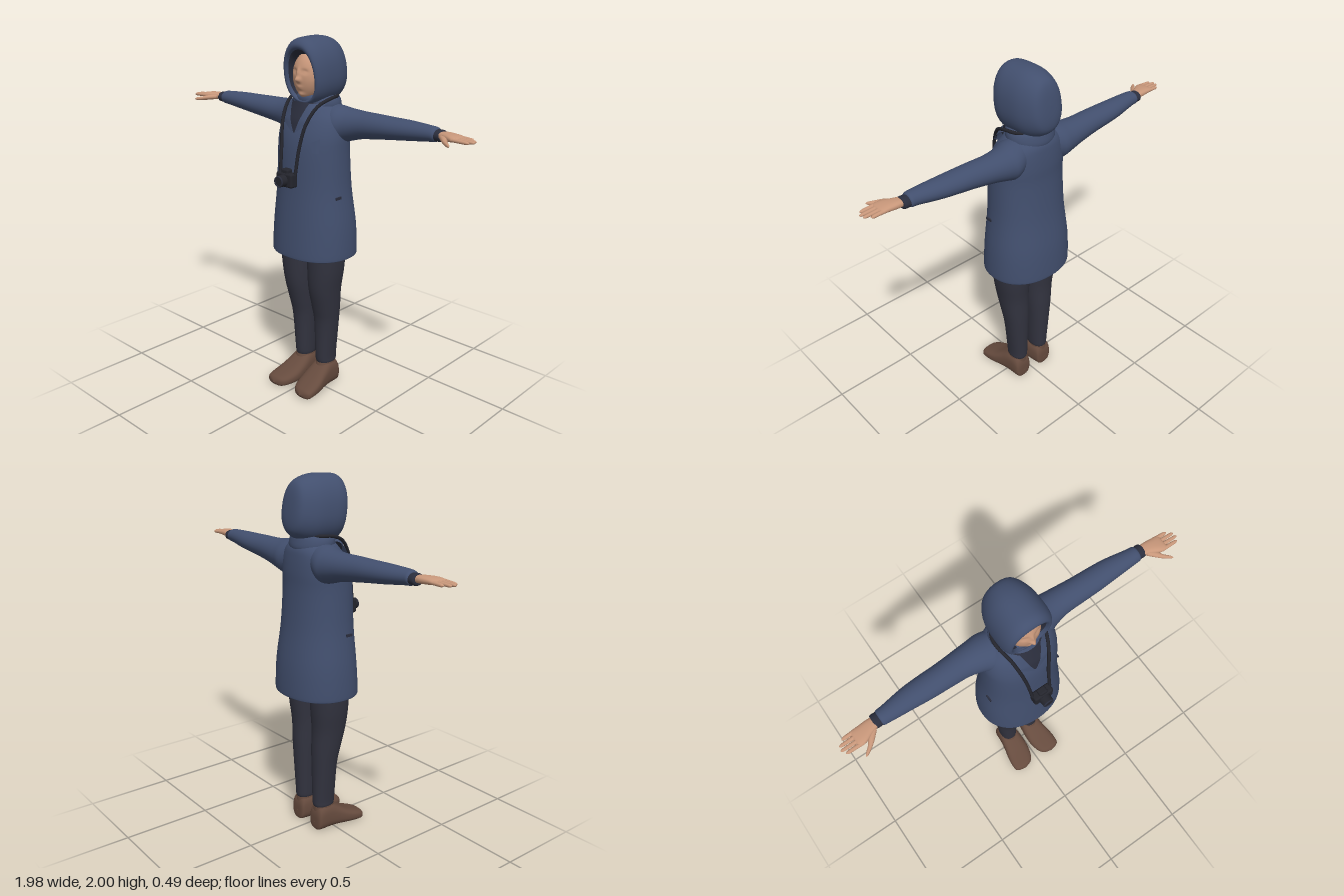
import * as THREE from 'three';
import { RoundedBoxGeometry } from 'three/addons/geometries/RoundedBoxGeometry.js';

const paint = (name, color) => {
  const m = new THREE.MeshStandardMaterial({ color, side: THREE.DoubleSide });
  m.name = name;
  return m;
};
const AXES = { x: [1, 2, 0], y: [2, 0, 1], z: [0, 1, 2] };

// Smooth skin through cross-sections: [position on axis, uMin, uMax, vMin, vMax]
// (u,v) is (y,z) along x, (z,x) along y and (x,y) along z; n squares the section
function loft(axis, keys, { n = 2, seg = 36, steps = 4, warp } = {}) {
  const [U, V, W] = AXES[axis];
  const cr = (a, b, c, d, t) =>
    b + 0.5 * t * (c - a + t * (2 * a - 5 * b + 4 * c - d + t * (3 * (b - c) + d - a)));
  const pos = [], idx = [];
  const rows = (keys.length - 1) * steps;
  for (let i = 0; i <= rows; i++) {
    const k = Math.min(Math.floor(i / steps), keys.length - 2), t = i / steps - k;
    const at = (j) => keys[Math.max(0, Math.min(keys.length - 1, j))];
    const [w, u0, u1, v0, v1] = keys[0].map((_, c) => cr(at(k - 1)[c], at(k)[c], at(k + 1)[c], at(k + 2)[c], t));
    for (let j = 0; j < seg; j++) {
      const a = (j / seg) * Math.PI * 2, c = Math.cos(a), s = Math.sin(a), p = [0, 0, 0];
      p[U] = (u0 + u1) / 2 + ((u1 - u0) / 2) * Math.sign(c) * Math.abs(c) ** (2 / n);
      p[V] = (v0 + v1) / 2 + ((v1 - v0) / 2) * Math.sign(s) * Math.abs(s) ** (2 / n);
      p[W] = w;
      if (warp) warp(p);
      pos.push(...p);
      if (i < rows) {
        const A = i * seg + j, B = i * seg + ((j + 1) % seg);
        idx.push(A, B, A + seg, B, B + seg, A + seg);
      }
    }
  }
  return build(pos, idx);
}

function build(pos, idx) {
  const g = new THREE.BufferGeometry();
  g.setAttribute('position', new THREE.Float32BufferAttribute(pos, 3));
  g.setIndex(idx);
  g.computeVertexNormals();
  return g;
}

function mirror(geo) {
  const g = geo.clone().scale(-1, 1, 1), a = g.index.array;
  for (let i = 0; i < a.length; i += 3) [a[i], a[i + 1]] = [a[i + 1], a[i]];
  return g;
}

// Coat sections from inside the hem, round its edge and up to the neck
const COAT = [
  [0.95, -0.03, -0.03, 0, 0], [0.945, -0.18, 0.11, -0.19, 0.19], [0.845, -0.225, 0.153, -0.23, 0.23],
  [0.829, -0.234, 0.163, -0.24, 0.24], [0.842, -0.24, 0.168, -0.247, 0.247],
  [1.0, -0.232, 0.158, -0.24, 0.24], [1.2, -0.205, 0.143, -0.217, 0.217], [1.4, -0.19, 0.135, -0.209, 0.209],
  [1.5, -0.19, 0.12, -0.207, 0.207], [1.58, -0.185, 0.09, -0.19, 0.19],
  [1.63, -0.175, 0.06, -0.15, 0.15], [1.68, -0.14, 0.03, -0.09, 0.09],
];
function frontZ(x, y) {
  const k = COAT.slice(4), i = Math.max(1, k.findIndex((r) => r[0] >= y));
  const t = (y - k[i - 1][0]) / (k[i][0] - k[i - 1][0]);
  const [, z0, z1, , r] = k[i].map((b, c) => k[i - 1][c] + (b - k[i - 1][c]) * t);
  return (z0 + z1) / 2 + ((z1 - z0) / 2) * Math.sqrt(Math.max(0, 1 - (x / r) ** 2));
}

// Cloth patch lying on the coat front; corners counter-clockwise as [x, y, lift]
function patch(c, N = 10) {
  const pos = [], idx = [];
  for (let i = 0; i <= N; i++) for (let j = 0; j <= N; j++) {
    const u = j / N, v = i / N;
    const [x, y, o] = [0, 1, 2].map((q) =>
      (c[0][q] * (1 - u) + c[1][q] * u) * (1 - v) + (c[3][q] * (1 - u) + c[2][q] * u) * v);
    pos.push(x, y, frontZ(x, y) + o);
    const A = i * (N + 1) + j;
    if (i < N && j < N) idx.push(A, A + 1, A + N + 1, A + 1, A + N + 2, A + N + 1);
  }
  return build(pos, idx);
}

const tube = (pts, r, closed = false) => new THREE.TubeGeometry(
  new THREE.CatmullRomCurve3(pts.map((p) => new THREE.Vector3(...p)), closed), 60, r, 8, closed);

// Face: an ellipsoid shaped by soft bumps [x, y, width, height, depth]
function faceGeometry() {
  const g = new THREE.SphereGeometry(1, 64, 64), p = g.attributes.position;
  const bumps = [
    [0, 1.787, 0.013, 0.014, 0.024], [0, 1.82, 0.009, 0.022, 0.011], [0.034, 1.828, 0.017, 0.011, -0.009],
    [-0.034, 1.828, 0.017, 0.011, -0.009], [0.033, 1.826, 0.01, 0.005, 0.004], [-0.033, 1.826, 0.01, 0.005, 0.004],
    [0, 1.745, 0.02, 0.011, 0.008], [0, 1.744, 0.022, 0.0035, -0.004], [0, 1.705, 0.025, 0.014, 0.012],
  ];
  for (let i = 0; i < p.count; i++) {
    const x = p.getX(i) * 0.088, y = 1.8 + p.getY(i) * 0.125, k = p.getZ(i);
    let z = Math.sign(k) * Math.abs(k) ** 0.85 * 0.09;
    if (k > 0) for (const [bx, by, sx, sy, d] of bumps)
      z += d * Math.exp(-(((x - bx) / sx) ** 2) - ((y - by) / sy) ** 2);
    p.setXYZ(i, x * (y < 1.78 ? 1 - (1.78 - y) * 0.8 : 1), y, z);
  }
  g.computeVertexNormals();
  return g;
}

export function createModel() {
  const model = new THREE.Group();
  model.name = 'hoodedFigure';
  const coat = paint('coatBlue', 0x424f6e), dark = paint('liningDark', 0x2b2e3d);
  const trouser = paint('trouserCharcoal', 0x32333f), skin = paint('skin', 0xc8977a);
  const shoe = paint('shoeBrown', 0x664b3e), black = paint('cameraBlack', 0x24252d);
  const add = (name, geo, mat) => {
    const m = new THREE.Mesh(geo, mat);
    m.name = name;
    model.add(m);
    return m;
  };
  const pair = (name, geo, mat) => {
    add(name + 'Left', geo, mat);
    add(name + 'Right', mirror(geo), mat);
  };

  // Coat body, collar and lapels
  add('coatBody', loft('y', COAT, { n: 2.2, seg: 48 }), coat);
  add('collar', loft('y', [
    [1.6, -0.165, 0.03, -0.11, 0.11], [1.63, -0.178, 0.05, -0.13, 0.13], [1.665, -0.175, 0.058, -0.13, 0.13],
    [1.695, -0.165, 0.058, -0.115, 0.115], [1.71, -0.13, 0.04, -0.09, 0.09],
  ]), coat);
  add('shirt', patch([[-0.004, 1.515, 0.012], [0.004, 1.515, 0.012], [0.085, 1.67, 0.045], [-0.085, 1.67, 0.045]]), dark);
  pair('lapel', patch([[0.005, 1.51, 0.014], [0.125, 1.595, 0.034], [0.11, 1.67, 0.05], [0.06, 1.665, 0.05]]), coat);
  add('chestPocket', patch([[0.115, 1.42, 0.009], [0.15, 1.42, 0.012], [0.15, 1.495, 0.012], [0.11, 1.475, 0.009]]), coat);
  pair('pocketSlit', new THREE.BoxGeometry(0.008, 0.014, 0.04).translate(0.219, 1.175, 0.015), dark);

  // Hood with a rolled rim, narrowing upward and leaning forward
  const hoodWarp = (p) => {
    p[0] *= 1 - (p[1] - 1.78) * 0.45;
    p[2] += (p[1] - 1.85) * 0.15;
  };
  add('hood', loft('z', [
    [-0.205, 0, 0, 1.85, 1.85], [-0.2, -0.06, 0.06, 1.76, 1.93], [-0.175, -0.1, 0.1, 1.7, 1.975],
    [-0.1, -0.133, 0.133, 1.66, 2.0], [0, -0.14, 0.14, 1.65, 2.0], [0.055, -0.133, 0.133, 1.65, 1.992],
    [0.084, -0.118, 0.118, 1.66, 1.968], [0.085, -0.102, 0.102, 1.672, 1.945], [0.065, -0.095, 0.095, 1.68, 1.935],
  ], { n: 2.25, seg: 48, warp: hoodWarp }), coat);
  add('hoodLining', loft('z', [
    [0.073, -0.098, 0.098, 1.676, 1.94], [0.055, -0.089, 0.089, 1.684, 1.922], [0, -0.08, 0.08, 1.7, 1.9],
  ], { n: 2.25, seg: 48, warp: hoodWarp }), dark);
  add('face', faceGeometry(), skin);
  add('neck', new THREE.CylinderGeometry(0.05, 0.055, 0.14, 24).translate(0, 1.67, -0.02), skin);

  // Sleeves and cuffs
  pair('sleeve', loft('x', [
    [0.06, 1.5, 1.66, -0.14, 0.0], [0.15, 1.455, 1.652, -0.175, 0.03], [0.21, 1.468, 1.642, -0.172, 0.005],
    [0.29, 1.49, 1.636, -0.163, -0.012], [0.4, 1.507, 1.635, -0.152, -0.014], [0.5, 1.52, 1.633, -0.147, -0.015],
    [0.6, 1.532, 1.632, -0.138, -0.02], [0.72, 1.548, 1.627, -0.116, -0.026], [0.757, 1.552, 1.622, -0.112, -0.03],
    [0.764, 1.565, 1.608, -0.1, -0.042],
  ], { seg: 28 }), coat);
  pair('cuff', loft('x', [
    [0.74, 1.558, 1.613, -0.106, -0.036], [0.79, 1.557, 1.615, -0.108, -0.033], [0.797, 1.57, 1.604, -0.09, -0.045],
  ], { seg: 28 }), dark);

  // Hands: palm, four fingers and thumb
  pair('palm', loft('x', [
    [0.78, 1.572, 1.608, -0.094, -0.038], [0.82, 1.572, 1.611, -0.096, -0.025], [0.865, 1.574, 1.61, -0.093, -0.004],
    [0.9, 1.579, 1.604, -0.091, 0.0], [0.912, 1.59, 1.594, -0.08, -0.01],
  ], { n: 2.5, seg: 24 }), skin);
  [[-0.08, 0.96], [-0.057, 0.985], [-0.034, 0.99], [-0.011, 0.975]].forEach(([z, tip], i) => {
    pair('finger' + (i + 1), loft('x', [
      [0.88, 1.581, 1.602, z - 0.012, z + 0.012], [0.94, 1.58, 1.598, z - 0.01, z + 0.01],
      [tip - 0.01, 1.581, 1.595, z - 0.008, z + 0.008], [tip, 1.588, 1.589, z - 0.001, z + 0.001],
    ], { seg: 12 }), skin);
  });
  pair('thumb', loft('x', [
    [0.8, 1.574, 1.6, -0.06, -0.028], [0.84, 1.568, 1.597, -0.042, 0.012], [0.87, 1.566, 1.588, 0.006, 0.034],
    [0.897, 1.566, 1.582, 0.032, 0.05], [0.907, 1.573, 1.575, 0.048, 0.05],
  ], { seg: 14 }), skin);

  // Trousers
  pair('trouserLeg', loft('y', [
    [0.14, -0.106, 0.006, 0.038, 0.122], [0.155, -0.113, 0.014, 0.031, 0.129], [0.2, -0.115, 0.019, 0.028, 0.131],
    [0.4, -0.12, 0.026, 0.02, 0.15], [0.5, -0.121, 0.046, 0.014, 0.162], [0.62, -0.119, 0.074, 0.008, 0.176],
    [0.75, -0.13, 0.085, 0.003, 0.194], [0.95, -0.14, 0.09, -0.003, 0.205],
  ], { n: 2.2 }), trouser);

  // Shoes, toes turned slightly outward
  pair('shoe', loft('z', [
    [-0.115, 0.08, 0.085, 0.05, 0.055], [-0.112, 0.04, 0.125, 0.006, 0.11], [-0.09, 0.028, 0.138, 0, 0.15],
    [-0.03, 0.018, 0.143, 0, 0.158], [0.03, 0.012, 0.152, 0, 0.125], [0.09, 0.013, 0.165, 0, 0.09],
    [0.15, 0.028, 0.17, 0, 0.067], [0.185, 0.055, 0.16, 0.002, 0.053], [0.2, 0.1, 0.11, 0.022, 0.03],
  ], { n: 2.7 }), shoe);
  pair('shoeAnkle', loft('y', [
    [0.05, -0.112, 0.03, 0.03, 0.135], [0.11, -0.111, 0.025, 0.03, 0.132], [0.16, -0.107, 0.008, 0.035, 0.126],
  ], { n: 2.2 }), shoe);

  // Camera hanging from a neck strap
  add('cameraBody', new RoundedBoxGeometry(0.114, 0.078, 0.052, 3, 0.012).translate(0.002, 1.274, 0.182), black);
  add('cameraHump', new RoundedBoxGeometry(0.05, 0.035, 0.04, 2, 0.01).translate(0.002, 1.315, 0.182), black);
  add('cameraLens', new THREE.CylinderGeometry(0.03, 0.033, 0.045, 28).rotateX(Math.PI / 2).translate(0.002, 1.272, 0.222), black);
  add('cameraLensRing', new THREE.TorusGeometry(0.026, 0.005, 8, 28).translate(0.002, 1.272, 0.243), dark);
  add('cameraStrap', tube([
    [0.056, 1.3, 0.175], [0.062, 1.45, 0.148], [0.082, 1.57, 0.118], [0.108, 1.655, 0.06], [0.128, 1.69, -0.02],
    [0.112, 1.695, -0.09], [0, 1.69, -0.15], [-0.112, 1.695, -0.09], [-0.128, 1.69, -0.02], [-0.108, 1.655, 0.06],
    [-0.088, 1.57, 0.118], [-0.068, 1.45, 0.148], [-0.052, 1.3, 0.175],
  ], 0.009), black);

  return model;
}
